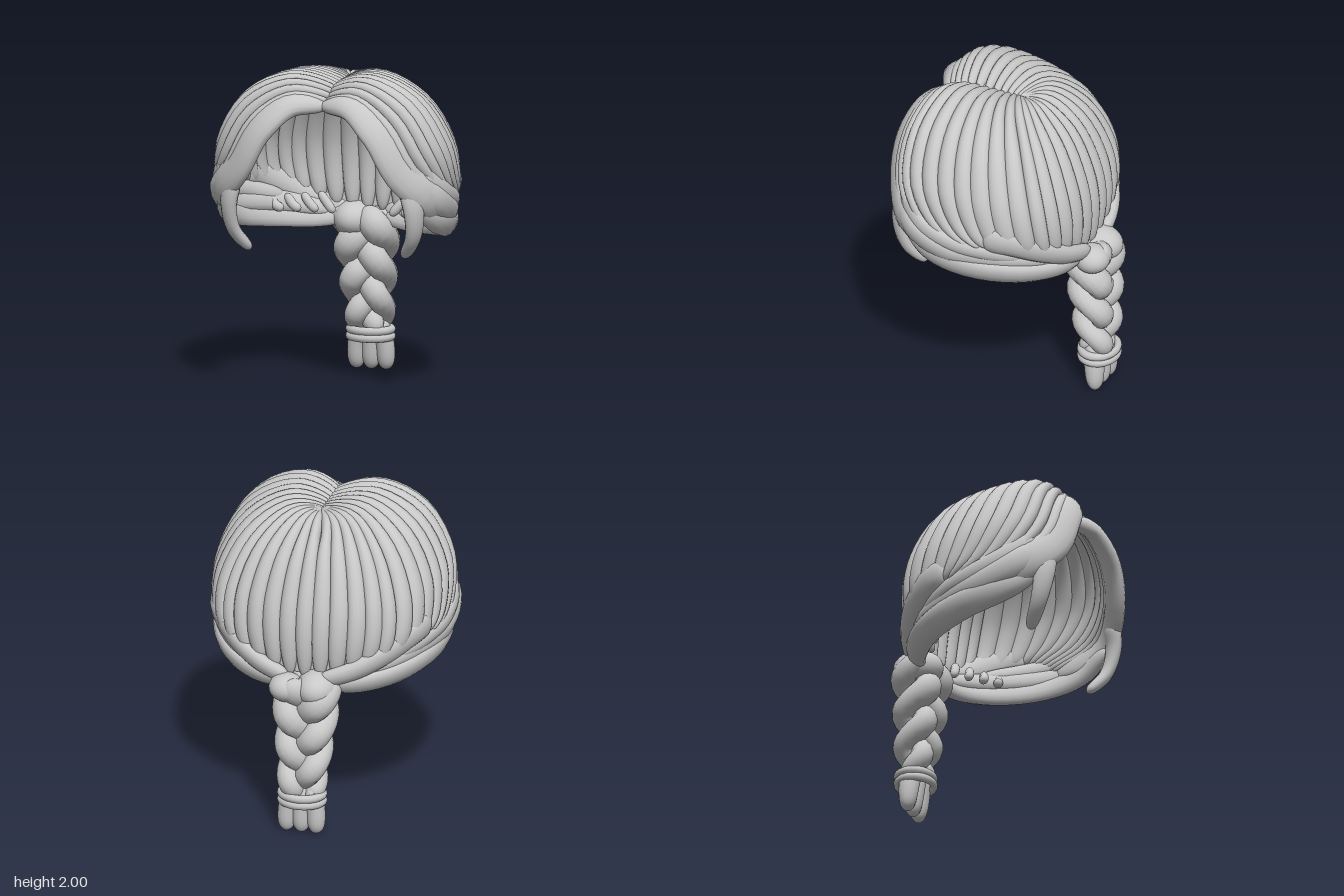
import * as THREE from 'three';

const hair = new THREE.MeshStandardMaterial({ color: 0xc8c8c8, side: THREE.DoubleSide });
hair.name = 'hairGrey';

const V = (a) => new THREE.Vector3(a[0], a[1], a[2]);
const outward = (p) => new THREE.Vector3(p.x, p.y - 1.35, p.z);
const mirror = (pts, s) => pts.map((p) => [p[0] * s, p[1], p[2]]);

// Sweep an oval section with rounded ends along a curve; size(t) gives [half width, half thickness]
function strand(name, pts, size, ref = outward, segs = 30, round = 8) {
  const curve = new THREE.CatmullRomCurve3(pts.map(V));
  const sides = 14, pos = [], idx = [];
  for (let i = 0; i <= segs; i++) {
    const t = (1 - Math.cos(Math.PI * i / segs)) / 2;
    const p = curve.getPoint(t), T = curve.getTangent(t);
    const B = T.clone().cross(ref(p)).normalize();
    const N = B.clone().cross(T).normalize();
    const e = Math.sqrt(Math.max(1e-5, 1 - Math.abs(2 * t - 1) ** round));
    const [w, d] = size(t);
    for (let j = 0; j < sides; j++) {
      const a = 2 * Math.PI * j / sides;
      const q = p.clone().addScaledVector(B, Math.cos(a) * w * e).addScaledVector(N, Math.sin(a) * d * e);
      pos.push(q.x, q.y, q.z);
      if (i < segs) {
        const k = i * sides + j, l = i * sides + (j + 1) % sides;
        idx.push(k, k + sides, l, l, k + sides, l + sides);
      }
    }
  }
  return surface(name, pos, idx);
}

function surface(name, pos, idx) {
  const g = new THREE.BufferGeometry();
  g.setAttribute('position', new THREE.Float32BufferAttribute(pos, 3));
  g.setIndex(idx);
  g.computeVertexNormals();
  const m = new THREE.Mesh(g, hair);
  m.name = name;
  return m;
}

function ellipsoid(name, p, r) {
  const m = new THREE.Mesh(new THREE.SphereGeometry(1, 24, 16), hair);
  m.name = name;
  m.position.set(...p);
  m.scale.set(...r);
  return m;
}

// Guide strands of one half of the scalp, from hairline to middle of the back
const guides = [
  [[-.02, 1.82, .485], [.2, 1.83, .555], [.38, 1.68, .6], [.51, 1.45, .58], [.66, 1.27, .45], [.69, 1.14, .12]],
  [[-.02, 1.9, .35], [.24, 1.945, .4], [.5, 1.82, .43], [.66, 1.55, .4], [.7, 1.32, .25], [.68, 1.18, 0]],
  [[-.02, 1.91, .15], [.25, 1.945, .14], [.5, 1.81, .1], [.65, 1.55, .04], [.67, 1.35, -.03], [.65, 1.22, -.1]],
  [[-.02, 1.91, .02], [.2, 1.915, -.08], [.38, 1.76, -.22], [.485, 1.5, -.33], [.495, 1.3, -.37], [.45, 1.12, -.38]],
  [[0, 1.9, .0], [.01, 1.885, -.16], [0, 1.75, -.32], [0, 1.5, -.435], [0, 1.3, -.475], [0, 1.0, -.47]],
];
guides.push(mirror(guides[3], -1));
const columns = guides[0].map((_, k) => new THREE.CatmullRomCurve3(guides.map((g) => V(g[k])), false, 'catmullrom'));
// Guide u of the half on side s; the parting runs slightly to the left behind the hairline
function guideAt(u, s) {
  const pts = mirror(columns.map((c) => c.getPoint(u / 5).toArray()), s);
  pts[0][0] += .025 * Math.min(1, 2 * u);
  return pts;
}

function scalp() {
  const g = new THREE.Group(), sideCount = 11, backCount = 5;
  const strandU = (i) => (i <= sideCount ? 3 * i / sideCount : 3 + (i - sideCount) / backCount);
  g.name = 'scalpHair';
  for (const s of [1, -1]) {
    for (let i = 0; i <= sideCount + backCount; i++) {
      if (i === sideCount + backCount && s < 0) continue;
      const u = strandU(i), pts = guideAt(u, s);
      const a = new THREE.CatmullRomCurve3(pts.map(V));
      const b = new THREE.CatmullRomCurve3(guideAt(strandU(i + 1), s).map(V));
      const size = (t) => {
        const w = Math.max(.035, .58 * a.getPoint(t).distanceTo(b.getPoint(t)));
        return i === 0 ? [.055 + .055 * Math.min(1, 3 * t), .055] : [w, .05];
      };
      g.add(strand(i === 0 ? 'hairlineLock' : i > sideCount ? 'backStrand' : 'sideStrand', pts, size));
    }
    // thin lining that closes the gaps between strands
    const pos = [], idx = [], nu = 32, nv = 20;
    for (let i = 0; i <= nu; i++) {
      const c = new THREE.CatmullRomCurve3(guideAt(4 * i / nu, s).map(V));
      for (let j = 0; j <= nv; j++) {
        pos.push(...c.getPoint(.01 + .97 * j / nv).toArray());
        if (i < nu && j < nv) {
          const k = i * (nv + 1) + j, l = k + nv + 1;
          if (s > 0) idx.push(k, l, k + 1, k + 1, l, l + 1);
          else idx.push(k, k + 1, l, k + 1, l + 1, l);
        }
      }
    }
    g.add(surface('lining', pos, idx));
  }
  return g;
}

// Locks swept round the sides and gathered into the braid
function sideLocks(s) {
  const g = new THREE.Group();
  g.name = s > 0 ? 'leftLocks' : 'rightLocks';
  const lock = (name, pts, size, round) => g.add(strand(name, mirror(pts, s), size, outward, 30, round));
  lock('sweptLock', [[.57, 1.42, .56], [.7, 1.26, .41], [.715, 1.16, .2], [.66, 1.12, 0], [.48, 1.07, -.28], [.2, 1.0, -.45]],
    (t) => [.085 - .02 * t, .045]);
  lock('sweptLock', [[.63, 1.44, .5], [.71, 1.3, .33], [.71, 1.22, .12], [.64, 1.17, -.08], [.48, 1.1, -.3]],
    (t) => [.075 - .02 * t, .045]);
  lock('lowerLock', [[.6, 1.22, .5], [.68, 1.11, .3], [.67, 1.05, .05], [.53, 1.0, -.23], [.32, .97, -.4], [.1, .97, -.47]],
    (t) => [.065 + .1 * t * (1 - t), .05]);
  lock('upperLock', [[.67, 1.29, -.06], [.62, 1.26, -.2], [.48, 1.165, -.36], [.3, 1.07, -.455], [.1, 1.0, -.5]],
    (t) => [.095 - .03 * t, .05], 12);
  lock('danglingLock', [[.56, 1.36, .54], [.59, 1.2, .54], [.575, 1.04, .5], [.49, .895, .41]],
    (t) => [.082 - .042 * t, .05 - .015 * t], 10);
  // short loose ends on the inner side
  for (let i = 0; i < 4; i++) {
    const x = .2 + i * .09, z = -.38 + i * .06;
    lock('looseEnd', [[x + .08, 1.12, z], [x + .03, 1.06, z + .02], [x - .02, 1.0 + .015 * i, z + .03]], () => [.028, .03], 4);
  }
  return g;
}

function braid() {
  const g = new THREE.Group();
  g.name = 'braid';
  const front = () => new THREE.Vector3(0, 0, 1);
  // three woven strands
  for (let k = 0; k < 3; k++) {
    const pts = [];
    for (let i = 0; i <= 24; i++) {
      const t = i / 24, a = 2 * Math.PI * (1.15 * t + k / 3);
      pts.push([(.13 - .05 * t) * Math.sin(a) - .02 * (1 - t), 1.0 - .75 * t,
        -.475 - .055 * t + (.085 - .03 * t) * Math.sin(2 * a)]);
    }
    g.add(strand('braidStrand', pts, (t) => [.1 - .032 * t, .088 - .025 * t], front, 60, 14));
  }
  // gathered hair at the top
  g.add(ellipsoid('knot', [-.085, .95, -.48], [.13, .115, .16]));
  g.add(ellipsoid('knot', [.1, .95, -.53], [.11, .09, .11]));
  // double hair tie
  for (const y of [.257, .213]) {
    const tie = new THREE.Mesh(new THREE.TorusGeometry(.13, .026, 12, 36), hair);
    tie.name = 'hairTie';
    tie.rotation.x = Math.PI / 2;
    tie.scale.y = .85;
    tie.position.set(0, y, -.53);
    g.add(tie);
  }
  // three loose tails
  for (const x of [-1, 0, 1]) {
    g.add(strand('tail', [[x * .06, .32, -.53], [x * .09, .16, -.54], [x * .095, .005, -.55]],
      (t) => [.058, .08 - .03 * t], front, 24, 4));
  }
  return g;
}

export function createModel() {
  const model = new THREE.Group();
  model.name = 'braidedHair';
  model.add(scalp(), sideLocks(1), sideLocks(-1), braid());
  return model;
}
